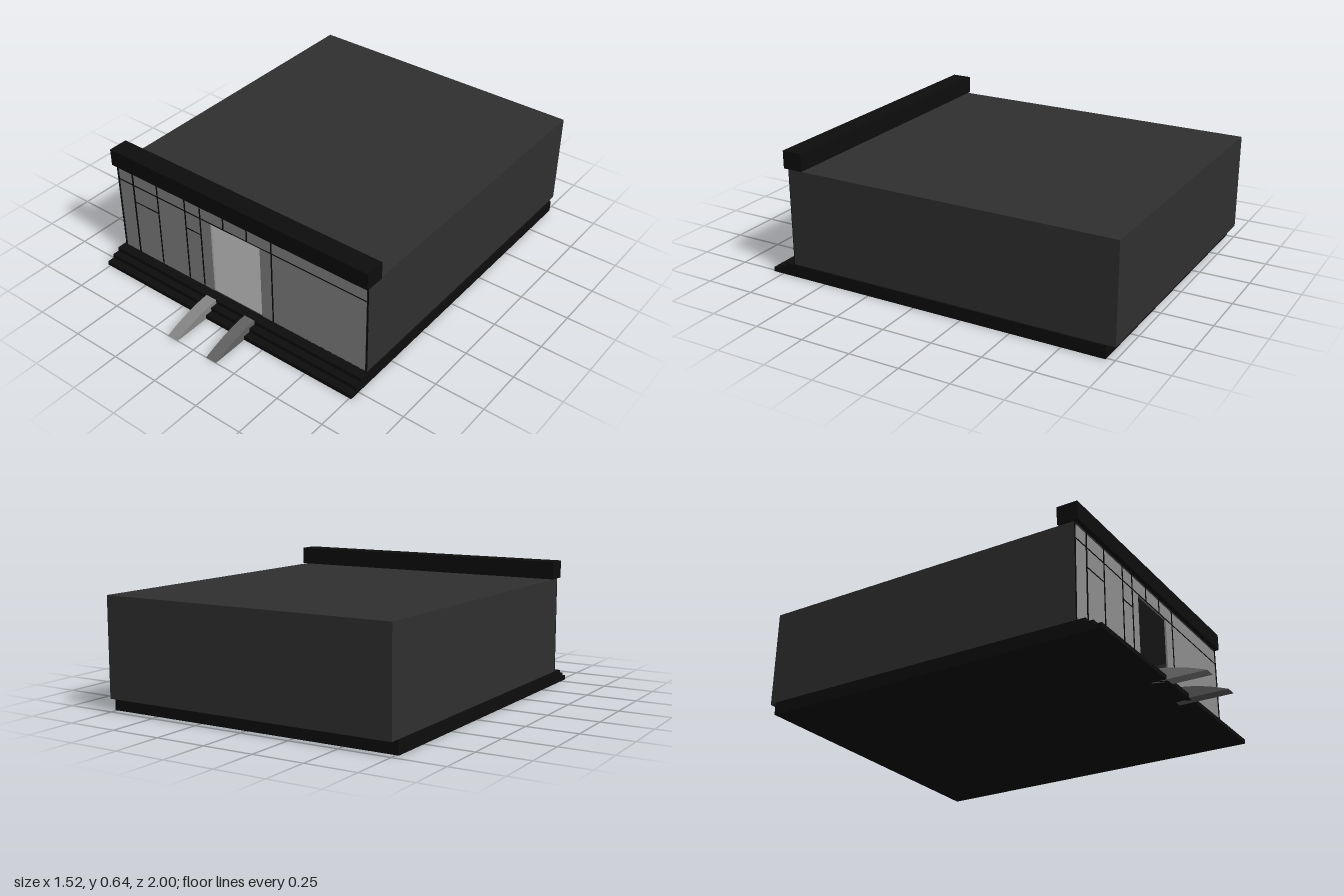
import * as THREE from 'three';

export function createModel() {
  const model = new THREE.Group();
  model.name = 'showroomBuilding';

  const mat = (name, color) => {
    const m = new THREE.MeshStandardMaterial({ color });
    m.name = name;
    return m;
  };
  const wall = mat('charcoal wall', 0x303030);
  const black = mat('black trim', 0x0d0d0d);
  const frame = mat('black frame', 0x060606);
  const grey = mat('grey glass and floor', 0x8e8e8e);
  const rampLight = mat('light ramp grey', 0x868686);
  const rampDark = mat('dark ramp grey', 0x626262);

  const add = (name, geometry, material, parent = model) => {
    const mesh = new THREE.Mesh(geometry, material);
    mesh.name = name;
    parent.add(mesh);
    return mesh;
  };
  // Box given by its limits on each axis
  const box = (name, [x0, x1], [y0, y1], [z0, z1], material, parent) => {
    const g = new THREE.BoxGeometry(x1 - x0, y1 - y0, z1 - z0);
    g.translate((x0 + x1) / 2, (y0 + y1) / 2, (z0 + z1) / 2);
    return add(name, g, material, parent);
  };

  // Plinth with two front steps below its top level
  const baseX = [-0.763, 0.76];
  box('lowerStep', baseX, [0, 0.022], [-0.96, 0.805], black);
  box('middleStep', baseX, [0.022, 0.043], [-0.96, 0.767], black);
  box('plinthTop', baseX, [0.043, 0.063], [-0.96, 0.73], black);

  // Hollow hall, open to the front
  const L = -0.753, R = 0.752, bottom = 0.063, top = 0.547, back = -1, front = 0.68, t = 0.01;
  const hall = new THREE.Group();
  hall.name = 'hall';
  model.add(hall);
  box('roof', [L, R], [top - t, top], [back, front], wall, hall);
  box('backWall', [L, R], [bottom, top - t], [back, back + t], wall, hall);
  box('rightWall', [L, L + t], [bottom, top - t], [back + t, front], wall, hall);
  box('leftWall', [R - t, R], [bottom, top - t], [back + t, front], wall, hall);
  box('underside', [L + t, R - t], [bottom, bottom + 0.003], [back + t, front], wall, hall);
  box('floor', [L + t, R - t], [bottom + 0.003, bottom + 0.007], [back + t, front], grey, hall);

  // Glazed front with a doorway
  const pane = new THREE.Shape();
  [[L + t, bottom], [-0.152, bottom], [-0.152, 0.465], [0.146, 0.465], [0.146, bottom],
    [R - t, bottom], [R - t, top - t], [L + t, top - t]]
    .forEach(([x, y], i) => (i ? pane.lineTo(x, y) : pane.moveTo(x, y)));
  const glass = new THREE.ExtrudeGeometry(pane, { depth: 0.009, bevelEnabled: false });
  glass.translate(0, 0, front - 0.009);
  add('glassFront', glass, grey);

  // Dark glazing bars
  const bars = new THREE.Group();
  bars.name = 'glazingBars';
  model.add(bars);
  const barZ = [front - 0.002, front + 0.003];
  const upright = (x, y0 = bottom, w = 0.006) =>
    box('upright', [x - w / 2, x + w / 2], [y0, top], barZ, frame, bars);
  [L + 0.003, -0.49, -0.311, -0.215, 0.215, R - 0.003].forEach((x) => upright(x));
  upright(-0.65, bottom, 0.008);
  [-0.071, 0.071].forEach((x) => upright(x, 0.465));
  [[L, R, 0.467], [-0.65, -0.49, 0.37], [-0.311, -0.215, 0.37]].forEach(([x0, x1, y]) =>
    box('crossbar', [x0, x1], [y - 0.002, y + 0.002], barZ, frame, bars));

  // Fascia beam along the roof front
  box('fascia', [-0.763, 0.76], [0.55, 0.638], [0.6, 0.702], black);

  // Two curved entry ramps
  const ramp = (name, x0, x1, material) => {
    const s = new THREE.Shape();
    s.moveTo(0.73, 0);
    s.lineTo(1, 0);
    s.quadraticCurveTo(0.85, 0.06, 0.73, 0.066);
    s.closePath();
    const g = new THREE.ExtrudeGeometry(s, { depth: x1 - x0, bevelEnabled: false, curveSegments: 8 });
    g.rotateY(-Math.PI / 2);
    g.translate(x1, 0, 0);
    add(name, g, material);
  };
  ramp('rightRamp', -0.16, -0.099, rampLight);
  ramp('leftRamp', 0.08, 0.14, rampDark);

  return model;
}
